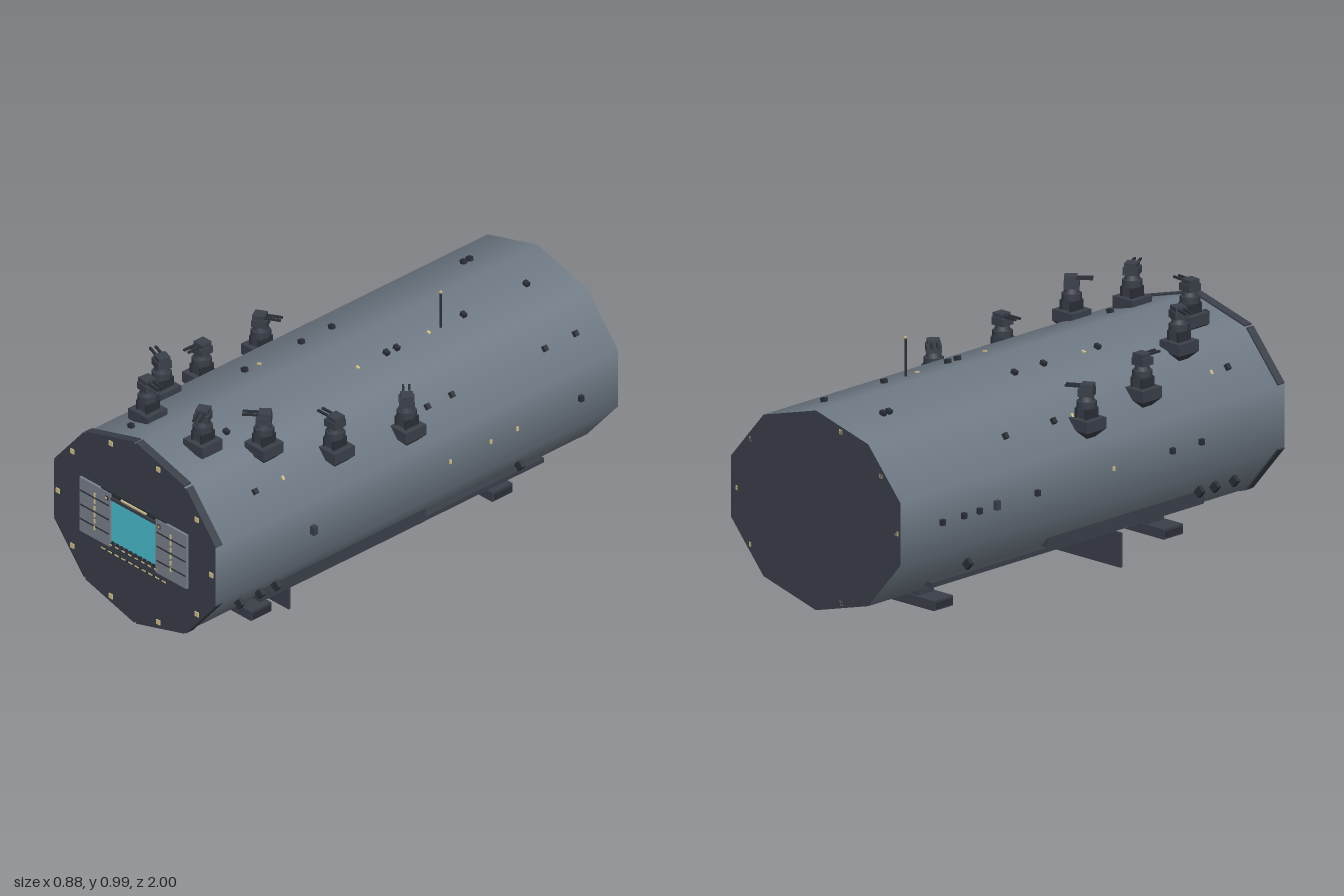
import * as THREE from 'three';

const RX = 0.4425, RY = 0.375, CY = 0.49; // ten-sided hull section

function material(name, color, side = THREE.FrontSide) {
  const m = new THREE.MeshStandardMaterial({ color, side });
  m.name = name;
  return m;
}

export function createModel() {
  const hullGrey = material('hull grey', 0x6f7a85);
  const dark = material('dark armour', 0x3a3f49);
  const black = material('dark trim', 0x2b2f37);
  const panelGrey = material('panel grey', 0x7a828e);
  const cyan = material('bay glow', 0x4cc0d4);
  const yellow = material('pale yellow', 0xcfc08c);

  const model = new THREE.Group();
  model.name = 'carrierHull';

  function add(name, geo, mat, x, y, z, parent = model) {
    const m = new THREE.Mesh(geo, mat);
    m.name = name;
    m.position.set(x, y, z);
    parent.add(m);
    return m;
  }
  const box = (name, mat, w, h, d, x, y, z, parent) =>
    add(name, new THREE.BoxGeometry(w, h, d), mat, x, y, z, parent);

  // Corner k of the section, counted clockwise from the top
  const corner = k => new THREE.Vector2(
    RX * Math.sin(k * Math.PI / 5), CY + RY * Math.cos(k * Math.PI / 5));

  // Group on hull face k with its local y pointing outward
  function onFace(name, k, z) {
    const a = corner(k), b = corner(k + 1);
    const g = new THREE.Group();
    g.name = name;
    g.position.set((a.x + b.x) / 2, (a.y + b.y) / 2, z);
    g.rotation.z = Math.atan2(b.y - a.y, b.x - a.x);
    g.userData.width = a.distanceTo(b);
    model.add(g);
    return g;
  }

  // Hull tube, smooth along its sides
  const tube = new THREE.CylinderGeometry(1, 1, 1.986, 10, 1, true);
  tube.rotateX(Math.PI / 2);
  tube.scale(RX, RY, 1);
  add('hull', tube, hullGrey, 0, CY, -0.007);

  // End plates
  const section = new THREE.Shape(Array.from({ length: 10 }, (_, i) => {
    const c = corner(10 - i);
    return new THREE.Vector2(c.x, c.y - CY);
  }));
  add('frontPlate', new THREE.ShapeGeometry(section), dark, 0, CY, 0.986);
  add('rearPlate', new THREE.ShapeGeometry(section), dark, 0, CY, -1).rotation.y = Math.PI;

  for (let k = 0; k < 10; k++) {
    // Collar plates on all but the vertical sides
    if (k !== 2 && k !== 7) {
      const g = onFace('collar', k, 0.969);
      box('collarPlate', dark, g.userData.width * 0.97, 0.012, 0.034, 0, 0, 0, g);
    }
    // Marker lights around both end plates
    const a = corner(k), b = corner(k + 1);
    const x = (a.x + b.x) / 2 * 0.95, y = CY + ((a.y + b.y) / 2 - CY) * 0.945;
    box('frontMarker', yellow, 0.019, 0.019, 0.006, x, y, 0.987);
    box('rearMarker', yellow, 0.019, 0.019, 0.006, x, y, -0.997);
  }

  // Hangar bay
  box('bayFrame', black, 0.25, 0.225, 0.004, 0, 0.4925, 0.987);
  box('bayGlow', cyan, 0.236, 0.172, 0.006, 0, 0.49, 0.988);
  box('bayLintel', dark, 0.236, 0.012, 0.01, 0, 0.584, 0.99);
  box('lintelLight', yellow, 0.13, 0.006, 0.012, 0, 0.599, 0.99);
  box('upperLedge', black, 0.34, 0.006, 0.008, 0, 0.608, 0.989);
  box('lowerLedge', black, 0.34, 0.008, 0.008, 0, 0.357, 0.988);
  box('baySill', dark, 0.236, 0.02, 0.01, 0, 0.39, 0.989);
  for (let i = 0; i < 10; i++) {
    box('ledgeDash', yellow, 0.021, 0.005, 0.01, -0.158 + i * 0.0351, 0.357, 0.989);
    if (i < 8) box('sillDash', yellow, 0.016, 0.005, 0.01, -0.12 + i * 0.034, 0.391, 0.991);
    box('sillTooth', black, 0.012, 0.01, 0.006, -0.106 + i * 0.0235, 0.403, 0.993);
  }
  for (const s of [-1, 1]) {
    box('bayDoor', panelGrey, 0.161, 0.225, 0.01, s * 0.199, 0.4925, 0.991);
    for (const y of [0.433, 0.493, 0.552])
      box('doorSeam', black, 0.15, 0.005, 0.004, s * 0.2, y, 0.996);
    for (let i = 0; i < 6; i++)
      box('doorDash', yellow, 0.005, 0.017, 0.004, s * 0.198, 0.427 + i * 0.0275, 0.998);
    box('lampFrame', black, 0.016, 0.016, 0.004, s * 0.136, 0.58, 0.996);
    box('lamp', yellow, 0.009, 0.009, 0.004, s * 0.136, 0.58, 0.998);
  }

  // Twin-barrel turrets: x, base y, z, heading of the barrels
  const turrets = [
    [-0.145, 0.82, 0.785, 1.45], [0.142, 0.82, 0.785, 0.5],
    [-0.268, 0.785, 0.6, -1.9], [0.265, 0.785, 0.6, -0.85],
    [-0.35, 0.69, 0.325, 0], [0.345, 0.69, 0.325, -1.57],
    [-0.385, 0.655, 0, 2.1], [0.375, 0.655, 0, -2.3]];
  for (const [x, y, z, heading] of turrets) {
    const t = new THREE.Group();
    t.name = 'turret';
    t.position.set(x, y, z);
    model.add(t);
    box('turretBase', dark, 0.1, 0.043, 0.1, 0, 0.0215, 0, t);
    const foot = new THREE.CylinderGeometry(0.07, 0.03, 0.03, 4);
    foot.rotateY(Math.PI / 4);
    add('turretFoot', foot, dark, 0, -0.015, 0, t);
    box('pedestal', dark, 0.055, 0.045, 0.055, 0, 0.062, 0, t);
    for (const s of [-1, 1]) box('pedestalRib', black, 0.008, 0.04, 0.066, s * 0.024, 0.06, 0, t);
    add('turretRing', new THREE.CylinderGeometry(0.037, 0.037, 0.024, 8), dark, 0, 0.094, 0, t);
    add('turretNeck', new THREE.CylinderGeometry(0.024, 0.03, 0.022, 8), dark, 0, 0.116, 0, t);
    const head = new THREE.Group();
    head.name = 'turretHead';
    head.rotation.y = heading;
    t.add(head);
    box('headBlock', dark, 0.056, 0.028, 0.056, 0, 0.139, 0, head);
    box('headTop', dark, 0.046, 0.018, 0.046, 0, 0.161, -0.004, head);
    for (const s of [-1, 1])
      box('barrel', black, 0.008, 0.008, 0.065, s * 0.011, 0.16, 0.045, head);
  }

  // Small fittings on the hull faces: z positions, dark blocks and yellow lights
  const fittings = {
    0: [[-0.82, -0.51, -0.18, -0.13, 0.66], [-0.34, 0.01]],
    9: [[-0.79, -0.76, -0.11, 0.04, 0.32, 0.88], [0.25]],
    1: [[-0.86, -0.71, -0.25, -0.13, -0.06, 0.72], [0.58]],
    8: [[-0.38, -0.13, 0.38, 0.77], [0.69, -0.03]],
    2: [[-0.81, 0.51], [-0.5, -0.37, -0.17]],
    7: [[-0.79, -0.68, -0.6, -0.3, 0.4, 0.55], [0.1]],
    3: [[-0.58, 0.62, 0.7, 0.8], []],
    6: [[-0.58, 0.62, 0.7, 0.8], []],
  };
  for (const [k, [blocks, lights]] of Object.entries(fittings)) {
    const low = k === '3' || k === '6';
    for (const z of blocks) {
      const g = onFace('fitting', +k, z);
      box('fittingBlock', black, low ? 0.035 : 0.022, low ? 0.05 : 0.024, 0.017, 0, 0.004, 0, g);
    }
    for (const z of lights)
      box('hullLight', yellow, 0.016, 0.008, 0.009, 0, 0.002, 0, onFace('light', +k, z));
  }
  for (const s of [-1, 1]) box('sideBlock', dark, 0.03, 0.034, 0.02, s * 0.425, 0.492, s * 0.51);

  // Mast
  add('mast', new THREE.CylinderGeometry(0.004, 0.005, 0.15, 6), black, 0.13, 0.9, -0.4);
  box('mastLight', yellow, 0.008, 0.008, 0.008, 0.13, 0.976, -0.4);

  // Lower side rails
  for (const s of [-1, 1]) {
    box('longRail', dark, 0.05, 0.018, 1.4, s * 0.295, 0.216, -0.03);
    box('shortRail', dark, 0.04, 0.055, 0.81, s * 0.305, 0.238, 0.265);
  }

  // Docking skids
  for (const z of [0.595, -0.595]) {
    box('skid', dark, 0.49, 0.038, 0.1, 0, 0.103, z);
    box('skidMount', dark, 0.32, 0.05, 0.08, 0, 0.143, z);
    for (const s of [-1, 1]) box('skidTip', black, 0.01, 0.024, 0.085, s * 0.246, 0.103, z);
  }

  // Belly fin with pale windows
  box('fin', dark, 0.36, 0.13, 0.01, 0, 0.065, 0.393);
  for (let i = 0; i < 4; i++)
    box('finWindow', panelGrey, 0.042, 0.035, 0.006, -0.09 + i * 0.06, 0.066, 0.397);
  for (const s of [-1, 1]) box('bellyStrip', panelGrey, 0.03, 0.016, 0.11, s * 0.155, 0.147, 0.445);

  return model;
}
